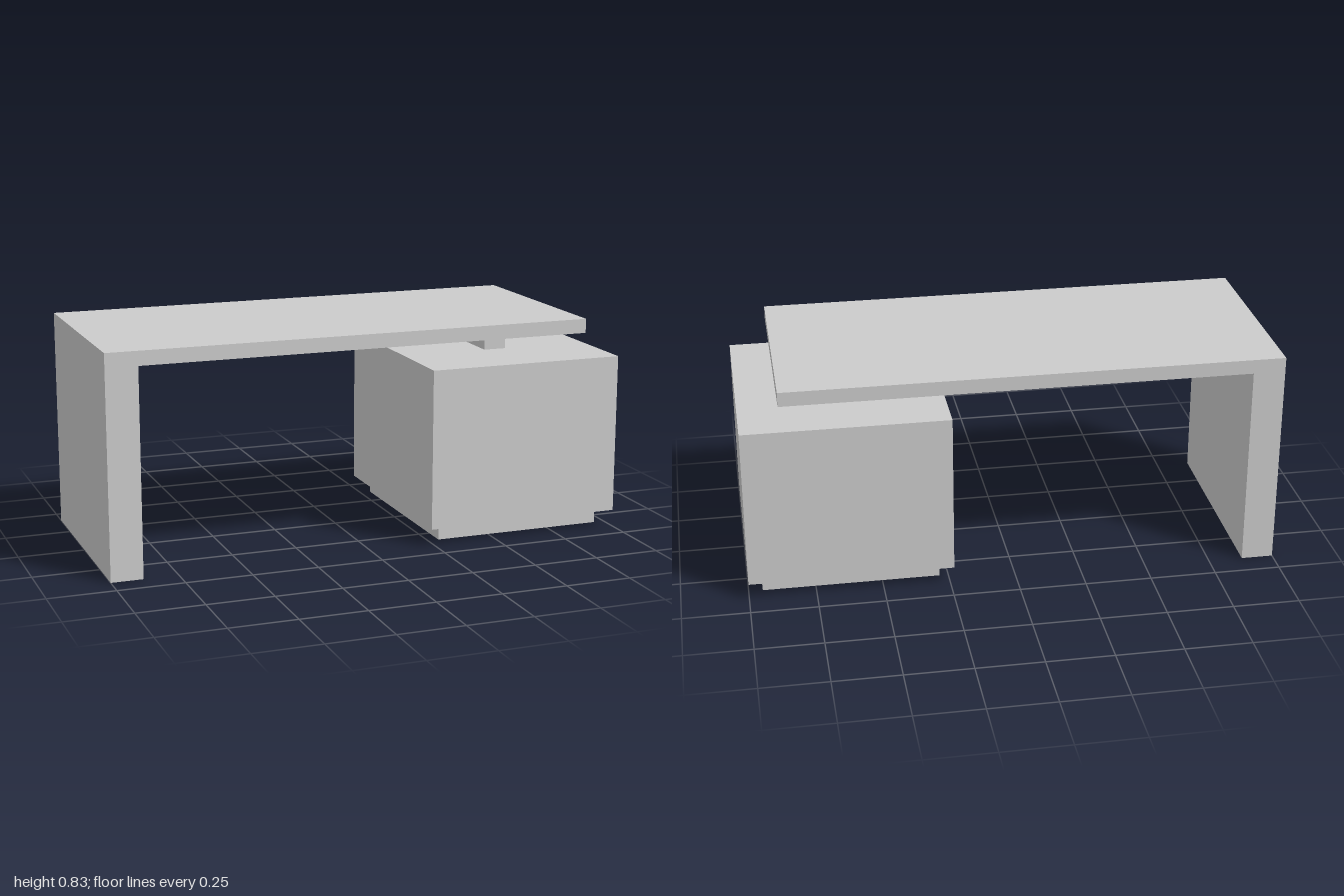
import * as THREE from 'three';

const material = new THREE.MeshStandardMaterial({ color: 0xcccccc, flatShading: true });
const HALF_DEPTH = 0.41;

function addPart(parent, name, geometry) {
  const mesh = new THREE.Mesh(geometry, material);
  mesh.name = name;
  parent.add(mesh);
  return mesh;
}

// Box given by its x and y limits and its half depth; centred on z = 0
function block(x0, x1, y0, y1, halfDepth) {
  return new THREE.BoxGeometry(x1 - x0, y1 - y0, 2 * halfDepth)
    .translate((x0 + x1) / 2, (y0 + y1) / 2, 0);
}

// Block whose bottom face is drawn in by an equal inset on all sides
function taperedBlock(x0, x1, y0, y1, halfDepth, inset) {
  const geometry = block(x0, x1, y0, y1, halfDepth);
  const p = geometry.attributes.position;
  const midX = (x0 + x1) / 2, midY = (y0 + y1) / 2;
  for (let i = 0; i < p.count; i++) {
    if (p.getY(i) > midY) continue;
    p.setX(i, p.getX(i) - Math.sign(p.getX(i) - midX) * inset);
    p.setZ(i, p.getZ(i) - Math.sign(p.getZ(i)) * inset);
  }
  geometry.computeVertexNormals();
  return geometry;
}

export function createModel() {
  const desk = new THREE.Group();
  desk.name = 'desk';

  // Desktop and panel leg as one continuous L-shaped slab
  const profile = new THREE.Shape([
    [-1, 0], [-0.88, 0], [-0.88, 0.776], [0.857, 0.776], [0.857, 0.83], [-1, 0.83],
  ].map(([x, y]) => new THREE.Vector2(x, y)));
  const slab = new THREE.ExtrudeGeometry(profile, { depth: 2 * HALF_DEPTH, bevelEnabled: false });
  addPart(desk, 'desktopAndLeg', slab.translate(0, 0, -HALF_DEPTH));

  // Pedestal cabinet carrying the free end of the desktop
  const pedestal = new THREE.Group();
  pedestal.name = 'pedestal';
  desk.add(pedestal);
  addPart(pedestal, 'cabinet', block(0.235, 1, 0.065, 0.676, HALF_DEPTH));
  addPart(pedestal, 'cabinetUnderside', taperedBlock(0.235, 1, 0.06, 0.065, HALF_DEPTH, 0.04));
  addPart(pedestal, 'plinth', block(0.285, 0.948, 0.006, 0.061, 0.357));
  addPart(pedestal, 'supportBlock', block(0.573, 0.66, 0.676, 0.776, 0.12));

  return desk;
}
